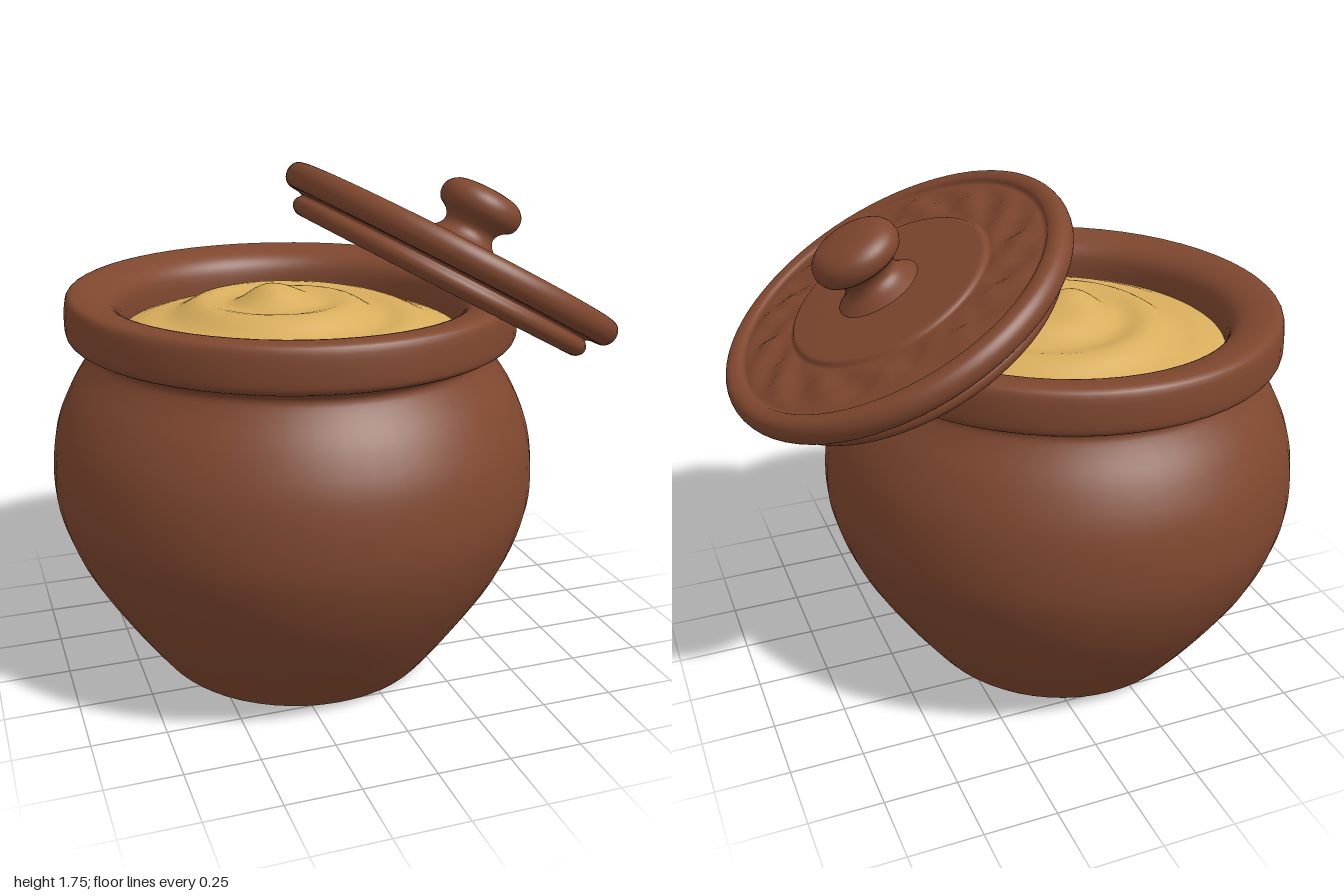
import * as THREE from 'three';
import { mergeVertices } from 'three/addons/utils/BufferGeometryUtils.js';

const clay = new THREE.MeshStandardMaterial({ color: 0x7f472f });
clay.name = 'clay brown';
const cream = new THREE.MeshStandardMaterial({ color: 0xd8ad5c });
cream.name = 'creamy yellow';

const toVectors = (list) => list.map(([r, y]) => new THREE.Vector2(r, y));

// Weld seams and rebuild smooth normals
function smooth(geometry) {
  geometry.deleteAttribute('uv');
  geometry.deleteAttribute('normal');
  const g = mergeVertices(geometry, 1e-5);
  g.computeVertexNormals();
  return g;
}

// Turned part: smooth curve through [radius, height] points, optional vertex rule
function turned(name, profile, divisions, segments, rule) {
  const points = new THREE.SplineCurve(toVectors(profile)).getPoints(divisions);
  points.forEach((p) => { p.x = Math.max(0, p.x); });
  const g = new THREE.LatheGeometry(points, segments);
  if (rule) {
    const pos = g.attributes.position;
    for (let i = 0; i < pos.count; i++) {
      const x = pos.getX(i), y = pos.getY(i), z = pos.getZ(i);
      pos.setY(i, y + rule(Math.hypot(x, z), Math.atan2(z, x), y));
    }
  }
  const mesh = new THREE.Mesh(smooth(g), clay);
  mesh.name = name;
  return mesh;
}

// Swirled filling as a polar grid with a mound and a spiral ridge
function makeFilling(radius) {
  const rings = 28, sides = 64, position = [], index = [];
  for (let i = 0; i <= rings; i++) {
    for (let j = 0; j <= sides; j++) {
      const t = i / rings, a = (j / sides) * Math.PI * 2;
      const x = t * radius * Math.cos(a), z = t * radius * Math.sin(a);
      const fade = Math.sin(Math.PI * Math.min(1, t * 1.02)) ** 2;
      const swirl = 0.02 * Math.sin(a - t * 15) * fade;
      const peak = 0.05 * Math.exp(-((x + 0.06) ** 2 + z * z) / 0.012);
      position.push(x, 0.11 * (1 - t * t) + swirl + peak, z);
    }
  }
  const row = sides + 1;
  for (let i = 0; i < rings; i++) {
    for (let j = 0; j < sides; j++) {
      const a = i * row + j, b = a + row;
      index.push(a, a + 1, b, b, a + 1, b + 1);
    }
  }
  const g = new THREE.BufferGeometry();
  g.setAttribute('position', new THREE.Float32BufferAttribute(position, 3));
  g.setIndex(index);
  const welded = mergeVertices(g, 1e-5);
  welded.computeVertexNormals();
  const mesh = new THREE.Mesh(welded, cream);
  mesh.name = 'filling';
  return mesh;
}

export function createModel() {
  const model = new THREE.Group();
  model.name = 'potWithLid';

  // Pot: slightly oval belly, neck, thick rolled rim and inner wall
  const pot = new THREE.Group();
  pot.name = 'pot';
  pot.position.x = -0.16;
  pot.scale.x = 0.943;
  pot.add(turned('potBody', [
    [0, 0.015], [0.25, 0.008], [0.47, 0.002], [0.51, 0.006], [0.545, 0.035],
    [0.67, 0.2], [0.80, 0.4], [0.873, 0.58], [0.89, 0.72], [0.87, 0.88],
    [0.815, 1.01], [0.75, 1.11], [0.727, 1.16], [0.755, 1.185], [0.805, 1.205],
    [0.817, 1.24], [0.812, 1.325], [0.79, 1.352], [0.74, 1.352], [0.68, 1.335],
    [0.64, 1.305], [0.622, 1.26], [0.618, 1.18], [0.615, 1.08],
  ], 92, 56));
  const filling = makeFilling(0.622);
  filling.position.y = 1.2;
  pot.add(filling);
  model.add(pot);

  // Lid leaning over the +x side of the rim
  const lid = new THREE.Group();
  lid.name = 'lid';
  lid.position.set(0.45, 1.465, 0.005);
  lid.rotation.z = -0.5;

  // Hand-pressed bumps in the band between the rim and the centre disc
  const bumps = (r, a, y) => {
    if (y < -0.06 || r < 0.42 || r > 0.62) return 0;
    const band = Math.sin(((r - 0.42) / 0.2) * Math.PI);
    return band * 0.009 * (Math.sin(a * 13 + r * 20) + 0.7 * Math.sin(a * 21 - r * 34));
  };
  const plate = turned('lidPlate', [
    [0, -0.155], [0.3, -0.155], [0.56, -0.163], [0.61, -0.165], [0.638, -0.145],
    [0.64, -0.12], [0.625, -0.1], [0.65, -0.092], [0.69, -0.088], [0.714, -0.066],
    [0.719, -0.035], [0.705, -0.008], [0.68, 0.002], [0.65, -0.002], [0.632, -0.016],
    [0.6, -0.014], [0.52, -0.012], [0.44, -0.012], [0.415, -0.012], [0.4, 0],
    [0.37, 0.003], [0.2, 0.006], [0, 0.008],
  ], 88, 72, bumps);
  plate.scale.x = 0.88;
  lid.add(plate);

  // Mushroom-shaped knob with a flared foot
  const knob = turned('lidKnob', [
    [0.17, -0.01], [0.14, 0.012], [0.105, 0.04], [0.095, 0.07], [0.112, 0.098],
    [0.142, 0.118], [0.154, 0.148], [0.147, 0.182], [0.115, 0.21], [0.06, 0.221], [0, 0.224],
  ], 40, 32);
  knob.position.set(0.025, 0, 0.01);
  lid.add(knob);
  model.add(lid);

  return model;
}
